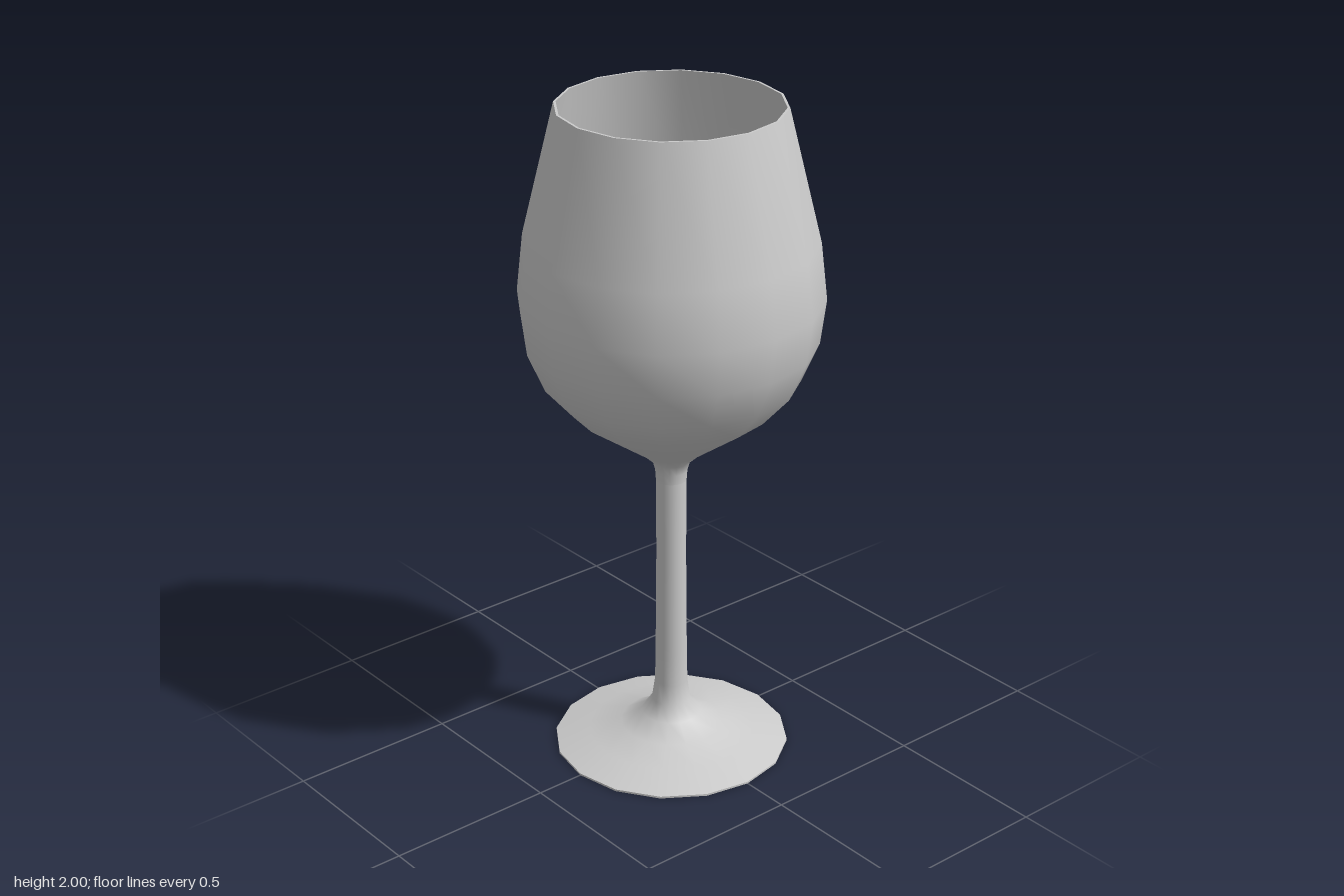
import * as THREE from 'three';

const SIDES = 16;
const material = new THREE.MeshStandardMaterial({ color: 0xcccccc });

// Turns a [radius, height] profile; rising profiles face outward, falling ones inward
function turned(name, profile) {
  const points = profile.map(([r, y]) => new THREE.Vector2(r, y));
  const mesh = new THREE.Mesh(new THREE.LatheGeometry(points, SIDES), material);
  mesh.name = name;
  return mesh;
}

export function createModel() {
  const glass = new THREE.Group();
  glass.name = 'wineGlass';

  // Foot: flat underside, thin edge and a slope flaring up into the stem
  glass.add(turned('footUnderside', [[0, 0], [0.352, 0]]));
  glass.add(turned('footEdge', [[0.352, 0], [0.352, 0.006]]));
  glass.add(turned('foot', [
    [0.352, 0.006], [0.25, 0.034], [0.153, 0.058], [0.09, 0.095],
    [0.058, 0.138], [0.049, 0.2], [0.047, 0.3], [0.046, 0.42],
  ]));

  // Stem
  glass.add(turned('stem', [[0.046, 0.42], [0.044, 0.64], [0.045, 0.87]]));

  // Bowl: outer wall, narrow lip and inner wall
  glass.add(turned('bowlOutside', [
    [0.045, 0.87], [0.047, 0.9], [0.055, 0.93], [0.09, 0.963], [0.29, 1.106],
    [0.37, 1.196], [0.42, 1.312], [0.437, 1.445], [0.418, 1.614], [0.323, 2],
  ]));
  glass.add(turned('lip', [[0.323, 2], [0.316, 2]]));
  glass.add(turned('bowlInside', [
    [0.316, 2], [0.402, 1.614], [0.42, 1.445], [0.402, 1.318], [0.355, 1.21],
    [0.278, 1.124], [0.09, 0.99], [0, 0.97],
  ]));

  return glass;
}
